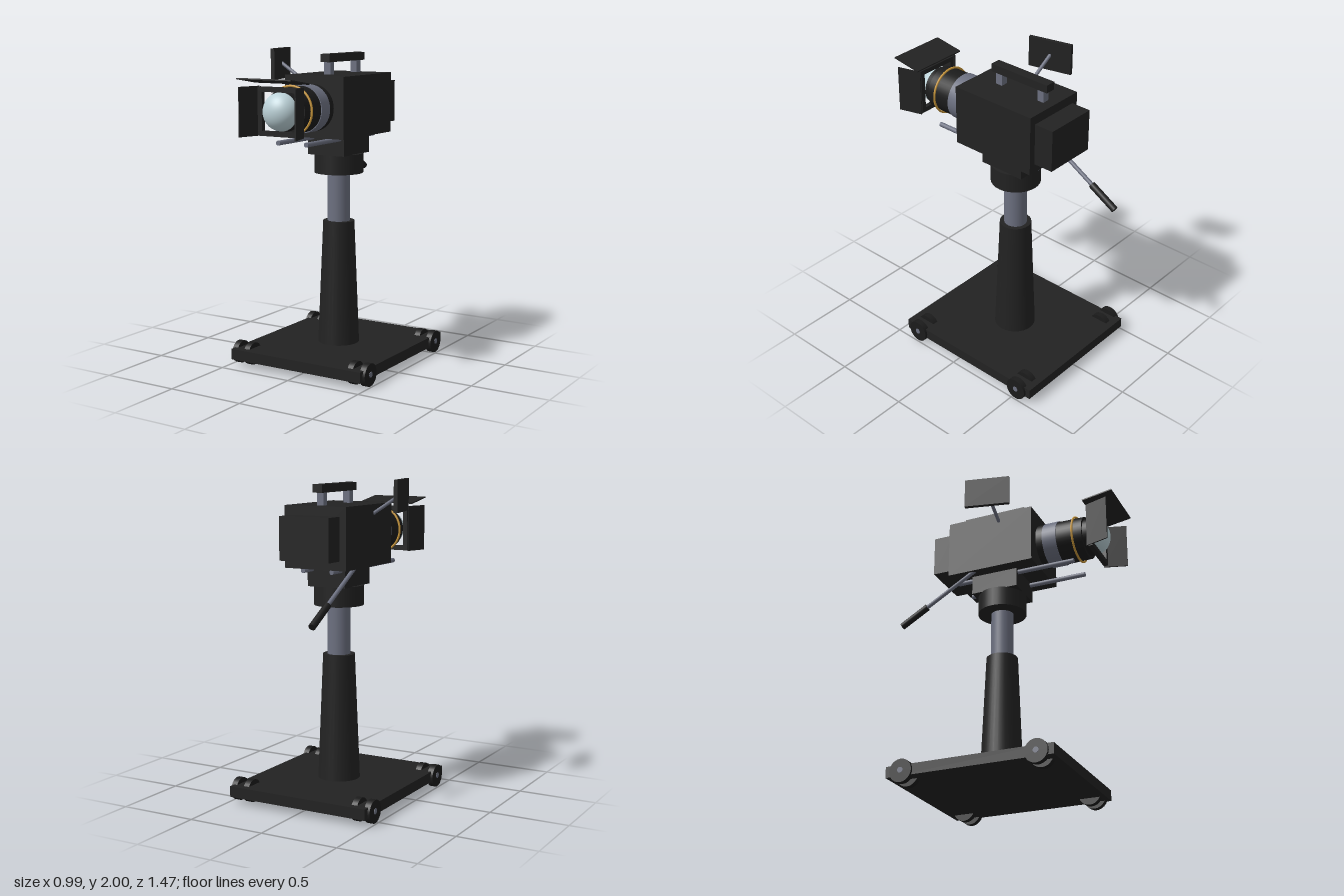
import * as THREE from 'three';

const mat = (name, color, side = THREE.FrontSide) => {
  const m = new THREE.MeshStandardMaterial({ color, side });
  m.name = name;
  return m;
};

export function createModel() {
  const black = mat('black housing', 0x222222);
  const rubber = mat('black rubber', 0x1b1b1b);
  const metal = mat('grey metal', 0x6c7080);
  const gold = mat('gold', 0xc8963a);
  const glass = mat('pale glass', 0xbcd2d8);

  const root = new THREE.Group();
  root.name = 'studioCamera';
  const add = (name, geo, m, x = 0, y = 0, z = 0) => {
    const mesh = new THREE.Mesh(geo, m);
    mesh.name = name;
    mesh.position.set(x, y, z);
    root.add(mesh);
    return mesh;
  };
  const box = (name, m, w, h, d, x, y, z) => add(name, new THREE.BoxGeometry(w, h, d), m, x, y, z);
  // upright cylinder between two heights
  const column = (name, m, r0, r1, y0, y1, z) =>
    add(name, new THREE.CylinderGeometry(r1, r0, y1 - y0, 32), m, 0, (y0 + y1) / 2, z);
  // round bar between two points
  const bar = (name, m, r, a, b, sides = 16) => {
    const p = new THREE.Vector3(...a), q = new THREE.Vector3(...b);
    const mesh = add(name, new THREE.CylinderGeometry(r, r, p.distanceTo(q), sides), m);
    mesh.position.copy(p).add(q).multiplyScalar(0.5);
    mesh.quaternion.setFromUnitVectors(new THREE.Vector3(0, 1, 0), q.sub(p).normalize());
    return mesh;
  };

  const CZ = -0.097; // pedestal axis
  const LY = 1.652; // lens axis height

  // Rolling base
  box('basePlate', black, 0.95, 0.068, 1.065, 0, 0.078, CZ);
  for (const s of [-1, 1]) {
    for (const z of [0.333, -0.525]) {
      for (const x of [0.383, 0.471]) {
        bar('wheel', rubber, 0.072, [s * (x - 0.019), 0.073, z], [s * (x + 0.019), 0.073, z], 24);
      }
      bar('wheelAxle', metal, 0.018, [s * 0.355, 0.076, z], [s * 0.493, 0.076, z]);
    }
  }

  // Pedestal
  column('pedestalCone', black, 0.133, 0.1, 0.11, 0.91, CZ);
  column('pedestalTube', metal, 0.072, 0.072, 0.9, 1.23, CZ);
  column('panHead', black, 0.156, 0.156, 1.22, 1.345, CZ);
  box('headMount', black, 0.265, 0.125, 0.31, 0, 1.405, CZ);

  // Camera body
  box('body', black, 0.424, 0.38, 0.582, 0, 1.655, -0.095);
  box('rearHousing', black, 0.34, 0.265, 0.13, 0, 1.655, -0.45);
  box('topHandle', black, 0.066, 0.05, 0.425, 0, 1.947, -0.143);
  for (const z of [0.02, -0.3]) box('handlePost', metal, 0.045, 0.085, 0.045, 0, 1.884, z);
  for (const x of [-0.1, 0.1]) bar('supportRod', metal, 0.015, [x, 1.451, 0.44], [x, 1.451, -0.36]);

  // Viewfinder panel on its arm
  bar('viewfinderArm', metal, 0.011, [-0.395, 1.908, -0.032], [-0.19, 1.777, -0.032]);
  box('viewfinderPanel', black, 0.024, 0.196, 0.287, -0.396, 1.902, -0.03).rotation.y = 0.23;

  // Panning handle
  bar('panHandleRod', metal, 0.013, [-0.182, 1.48, -0.205], [-0.182, 1.275, -0.56]);
  bar('panHandleGrip', rubber, 0.022, [-0.182, 1.282, -0.547], [-0.182, 1.178, -0.727]);

  // Lens barrel, back to front
  const barrel = (name, m, r0, r1, z0, z1) => {
    const geo = new THREE.CylinderGeometry(r1, r0, z1 - z0, 40).rotateX(Math.PI / 2);
    return add(name, geo, m, 0, LY, (z0 + z1) / 2);
  };
  barrel('lensBase', rubber, 0.143, 0.143, 0.19, 0.24);
  barrel('lensZoomRing', metal, 0.145, 0.145, 0.24, 0.333);
  barrel('lensBarrel', rubber, 0.14, 0.137, 0.333, 0.505);
  barrel('lensNeck', rubber, 0.12, 0.117, 0.505, 0.55);
  add('lensGoldRing', new THREE.TorusGeometry(0.146, 0.007, 10, 48), gold, 0, LY, 0.444);
  const dome = new THREE.SphereGeometry(0.115, 32, 14, 0, Math.PI * 2, 0, Math.PI / 2).rotateX(Math.PI / 2);
  add('lensGlass', dome, glass, 0, LY, 0.55).scale.z = 0.85;

  // Square frame and flaps around the glass
  for (const s of [-1, 1]) {
    box('frameRail', black, 0.29, 0.03, 0.03, 0, LY + s * 0.13, 0.568);
    box('frameStile', black, 0.03, 0.23, 0.03, s * 0.13, LY, 0.568);
    box('sideFlap', black, 0.008, 0.295, 0.155, s * 0.176, LY, 0.625).rotation.y = s * 0.28;
  }
  box('topFlap', black, 0.38, 0.008, 0.2, 0, 1.835, 0.635).rotation.x = -0.155;

  return root;
}
